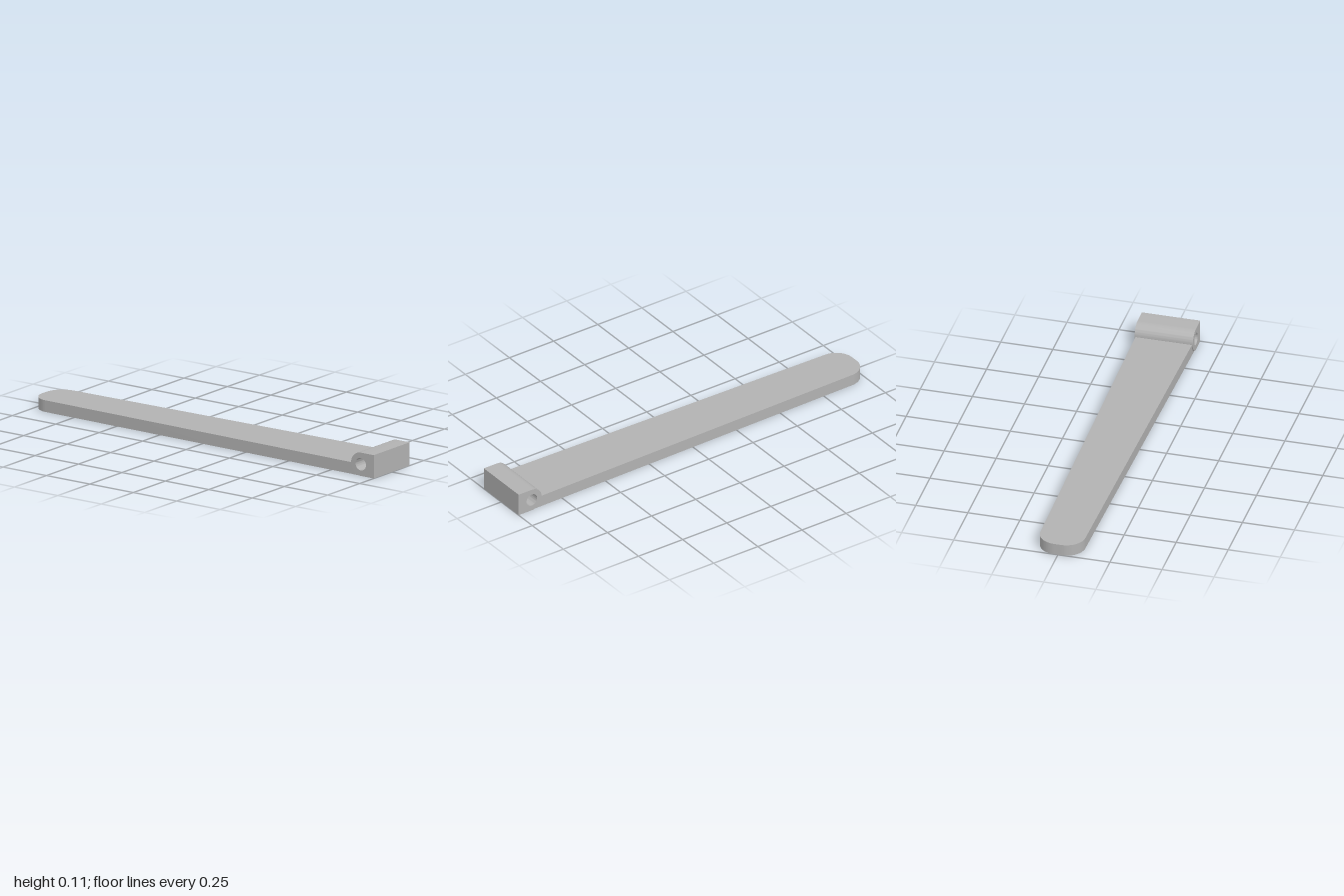
import * as THREE from 'three';
import { toCreasedNormals } from 'three/addons/utils/BufferGeometryUtils.js';

const ARM_TOP = 0.056;
const GROOVE_DEPTH = 0.01;

// Extrude a shape into a solid with smooth curves and sharp edges
function solid(shape, depth) {
  const geo = new THREE.ExtrudeGeometry(shape, { depth, bevelEnabled: false, curveSegments: 20 });
  return toCreasedNormals(geo, 0.5);
}

// Plan shapes are drawn with y = -z, then laid flat between two heights
function flatSolid(shape, y0, y1) {
  return solid(shape, y1 - y0).rotateX(-Math.PI / 2).translate(0, y0, 0);
}

// Tapered arm outline with a rounded tip
function armOutline() {
  const s = new THREE.Shape();
  s.moveTo(-0.136, -0.89);
  s.lineTo(0.136, -0.89);
  s.lineTo(0.108, 0.91);
  s.absarc(0.018, 0.91, 0.09, 0, Math.PI / 2, false);
  s.absarc(-0.018, 0.91, 0.09, Math.PI / 2, Math.PI, false);
  s.closePath();
  return s;
}

// Tapered panel outline on the underside, shrunk by an inset
function panelPoints(inset) {
  const f = 0.0925 - inset, b = 0.061 - inset;
  const zf = -0.817 + inset, zb = 0.89 - inset;
  return [[-f, zf], [f, zf], [b, zb], [-b, zb]].map(([x, y]) => new THREE.Vector2(x, y));
}

export function createModel() {
  const group = new THREE.Group();
  const grey = new THREE.MeshStandardMaterial({ color: 0xb2b2b2 });
  grey.name = 'grey';

  const add = (name, geometry) => {
    const mesh = new THREE.Mesh(geometry, grey);
    mesh.name = name;
    group.add(mesh);
  };

  // Arm: solid slab above, grooved layer below
  add('armSlab', flatSolid(armOutline(), GROOVE_DEPTH, ARM_TOP));
  const rim = armOutline();
  rim.holes.push(new THREE.Path(panelPoints(0)));
  add('armUndersideRim', flatSolid(rim, 0, GROOVE_DEPTH));
  add('armUndersidePanel', flatSolid(new THREE.Shape(panelPoints(0.014)), 0, GROOVE_DEPTH));

  // Web that joins the arm to the hinge beneath the barrel
  add('hingeWeb', new THREE.BoxGeometry(0.272, 0.0123, 0.035).translate(0, 0.00615, 0.9075));

  // Hinge: square front, round back, pin hole right through
  const profile = new THREE.Shape();
  profile.moveTo(0.925, 0);
  profile.lineTo(1, 0);
  profile.lineTo(1, 0.112);
  profile.lineTo(0.925, 0.112);
  profile.absarc(0.925, 0.056, 0.056, Math.PI / 2, Math.PI * 1.5, false);
  const pinHole = new THREE.Path();
  pinHole.absarc(0.925, 0.056, 0.03, 0, Math.PI * 2, true);
  profile.holes.push(pinHole);
  add('hingeBarrel', solid(profile, 0.28).rotateY(-Math.PI / 2).translate(0.14, 0, 0));

  return group;
}
